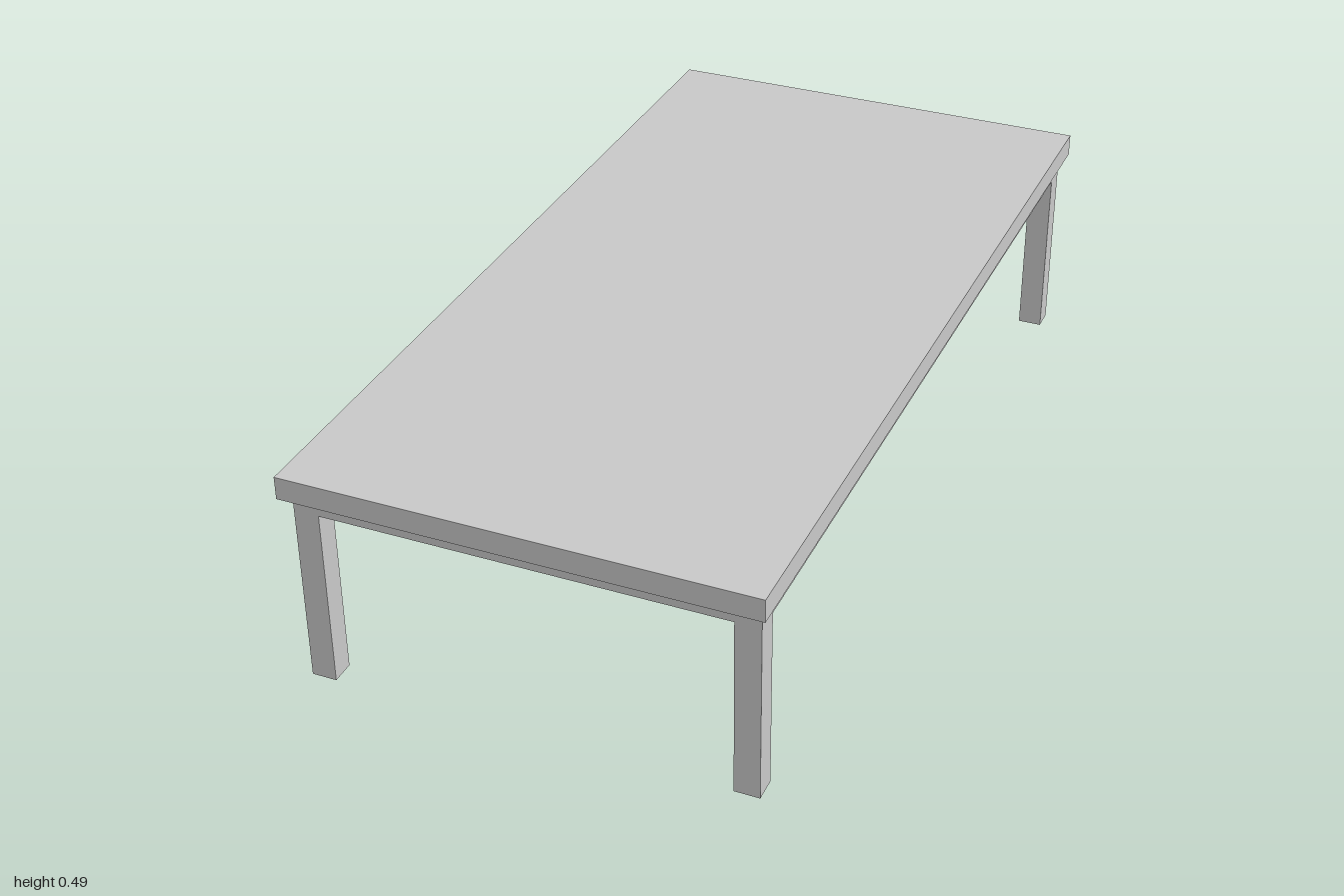
import * as THREE from 'three';

export function createModel() {
  const table = new THREE.Group();
  table.name = 'table';
  const material = new THREE.MeshStandardMaterial({ color: 0xcccccc, flatShading: true });

  // Box placed by its centre in x and z and by its underside in y
  function addBox(name, [w, h, d], [x, bottom, z]) {
    const mesh = new THREE.Mesh(new THREE.BoxGeometry(w, h, d), material);
    mesh.name = name;
    mesh.position.set(x, bottom + h / 2, z);
    table.add(mesh);
  }

  const topThickness = 0.05, legHeight = 0.44, railHeight = 0.04;
  const legW = 0.054, legD = 0.052; // leg section
  const legX = 0.456, legZ = 0.945; // leg centres
  const railY = legHeight - railHeight;

  addBox('tabletop', [1, topThickness, 2], [0, legHeight, 0]);

  for (const side of [-1, 1]) {
    const sideName = side > 0 ? 'left' : 'right';

    // Legs at the four corners
    for (const end of [-1, 1]) {
      const endName = end > 0 ? 'Front' : 'Back';
      addBox(`${sideName}${endName}Leg`, [legW, legHeight, legD], [side * legX, 0, end * legZ]);
    }

    // Rails between the legs, flush with them
    addBox(`${sideName}Rail`, [legW, railHeight, 2 * legZ - legD], [side * legX, railY, 0]);
    addBox(side > 0 ? 'frontRail' : 'backRail',
      [2 * legX - legW, railHeight, legD], [0, railY, side * legZ]);
  }

  return table;
}
